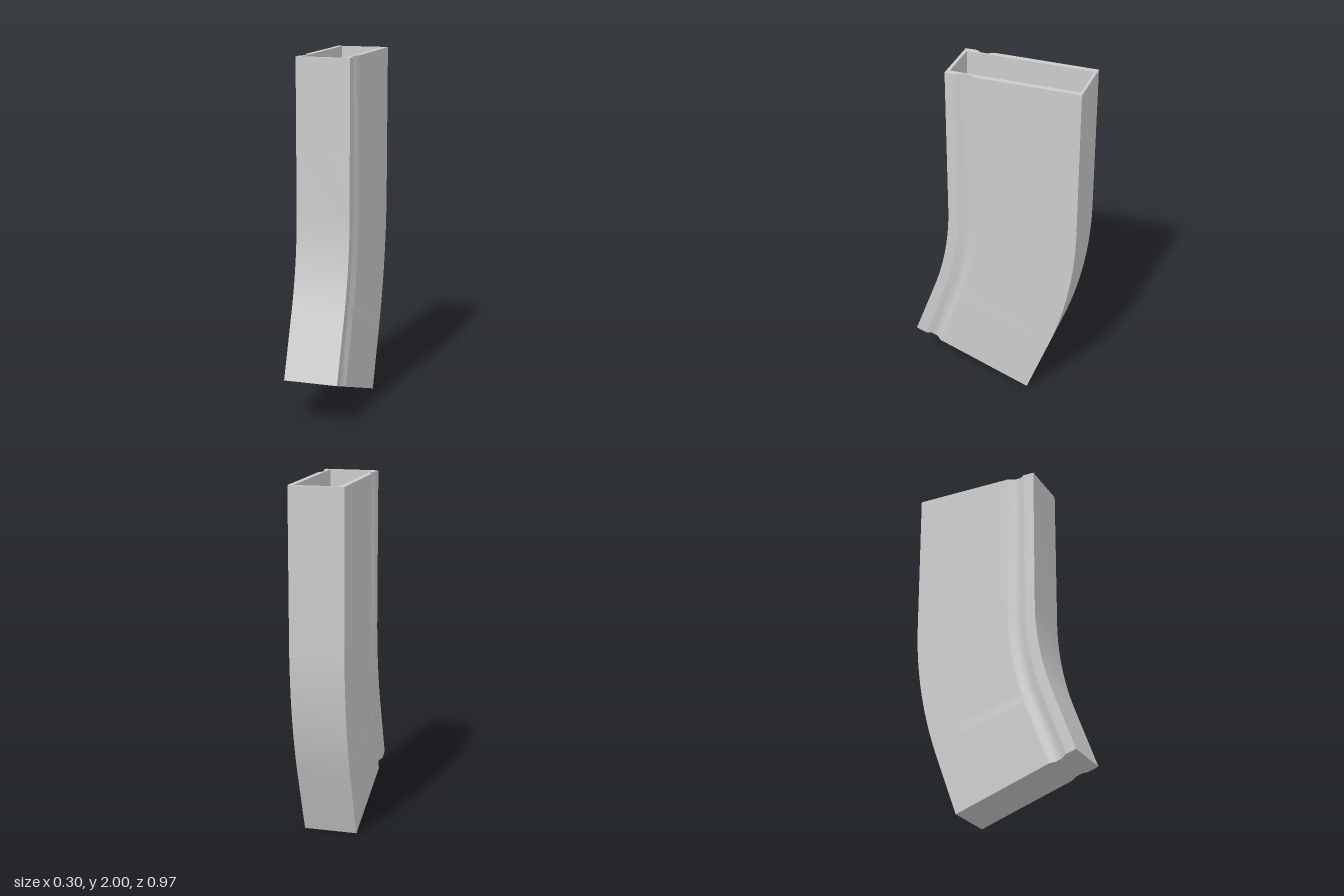
import * as THREE from 'three';
import { toCreasedNormals } from 'three/addons/utils/BufferGeometryUtils.js';

const material = new THREE.MeshStandardMaterial({ color: 0xcccccc });

// Sweep: straight upper part, 20 degree bend, straight lower part
const TOP = 2, BEND_Y = 1.155, PIVOT_Z = 1.86, BEND = Math.PI / 9, TAIL = 0.376, ARC_STEPS = 14;
const CAVITY_TAIL = 0.08; // the cavity floor sits above the solid foot

// Position of cross-section point (x, u) at a station {rise, angle, drop}
function place(x, u, { rise, angle, drop }) {
  const r = PIVOT_Z - u, c = Math.cos(angle), s = Math.sin(angle);
  return [x, BEND_Y + rise - r * s - drop * c, PIVOT_Z - r * c + drop * s];
}

function makeStations(tail) {
  const list = [{ rise: TOP - BEND_Y, angle: 0, drop: 0 }];
  for (let i = 0; i <= ARC_STEPS; i++) list.push({ rise: 0, angle: BEND * i / ARC_STEPS, drop: 0 });
  list.push({ rise: 0, angle: BEND, drop: tail });
  return list;
}

// Outer section, counter-clockwise in (x, u), with a shallow groove on each side
const rightHalf = [
  [0.152, -0.485], [0.152, 0.088], [0.152, 0.098], [0.132, 0.128],
  [0.132, 0.166], [0.152, 0.196], [0.152, 0.206], [0.152, 0.26],
];
const outer = [...rightHalf, ...rightHalf.map(([x, u]) => [-x, u]).reverse()];

// Cavity section, narrowing slightly with depth t (0 to 1)
function cavity(t) {
  const w = 0.122 - 0.007 * t, back = -0.47 + 0.005 * t, front = 0.242 - 0.006 * t;
  return [[w, back], [w, front], [-w, front], [-w, back]];
}

// Skin between the stations; inward = true turns the faces to the inside
function wall(name, sectionAt, stations, inward) {
  const positions = [], index = [];
  const n = sectionAt(0).length;
  stations.forEach((st, i) => {
    const depth = TOP - place(0, 0, st)[1];
    for (const [x, u] of sectionAt(depth / 1.8)) positions.push(...place(x, u, st));
    if (i === 0) return;
    for (let j = 0; j < n; j++) {
      const k = (j + 1) % n, a = (i - 1) * n + j, b = (i - 1) * n + k, c = i * n + j, d = i * n + k;
      if (inward) index.push(a, c, b, b, c, d);
      else index.push(a, b, c, b, d, c);
    }
  });
  const geo = new THREE.BufferGeometry();
  geo.setAttribute('position', new THREE.Float32BufferAttribute(positions, 3));
  geo.setIndex(index);
  return named(name, toCreasedNormals(geo, 0.7));
}

// Flat face across one station, with an optional opening
function cap(name, section, station, up, hole) {
  const toPoints = (list) => list.map(([x, u]) => new THREE.Vector2(x, u));
  const shape = new THREE.Shape(toPoints(section));
  if (hole) shape.holes.push(new THREE.Path(toPoints(hole)));
  const geo = new THREE.ShapeGeometry(shape);
  const p = geo.attributes.position;
  for (let i = 0; i < p.count; i++) p.setXYZ(i, ...place(p.getX(i), p.getY(i), station));
  if (up) geo.setIndex(Array.from(geo.index.array).reverse());
  geo.computeVertexNormals();
  return named(name, geo);
}

function named(name, geo) {
  const mesh = new THREE.Mesh(geo, material);
  mesh.name = name;
  return mesh;
}

export function createModel() {
  const group = new THREE.Group();
  group.name = 'curvedCase';
  const outside = makeStations(TAIL), inside = makeStations(CAVITY_TAIL);
  const floorStation = inside.at(-1);
  const floorDepth = (TOP - place(0, 0, floorStation)[1]) / 1.8;

  group.add(
    wall('outerShell', () => outer, outside, false),
    wall('cavityWalls', cavity, inside, true),
    cap('topRim', outer, outside[0], true, cavity(0)),
    cap('cavityFloor', cavity(floorDepth), floorStation, true),
    cap('bottomFace', outer, outside.at(-1), false),
  );
  return group;
}
